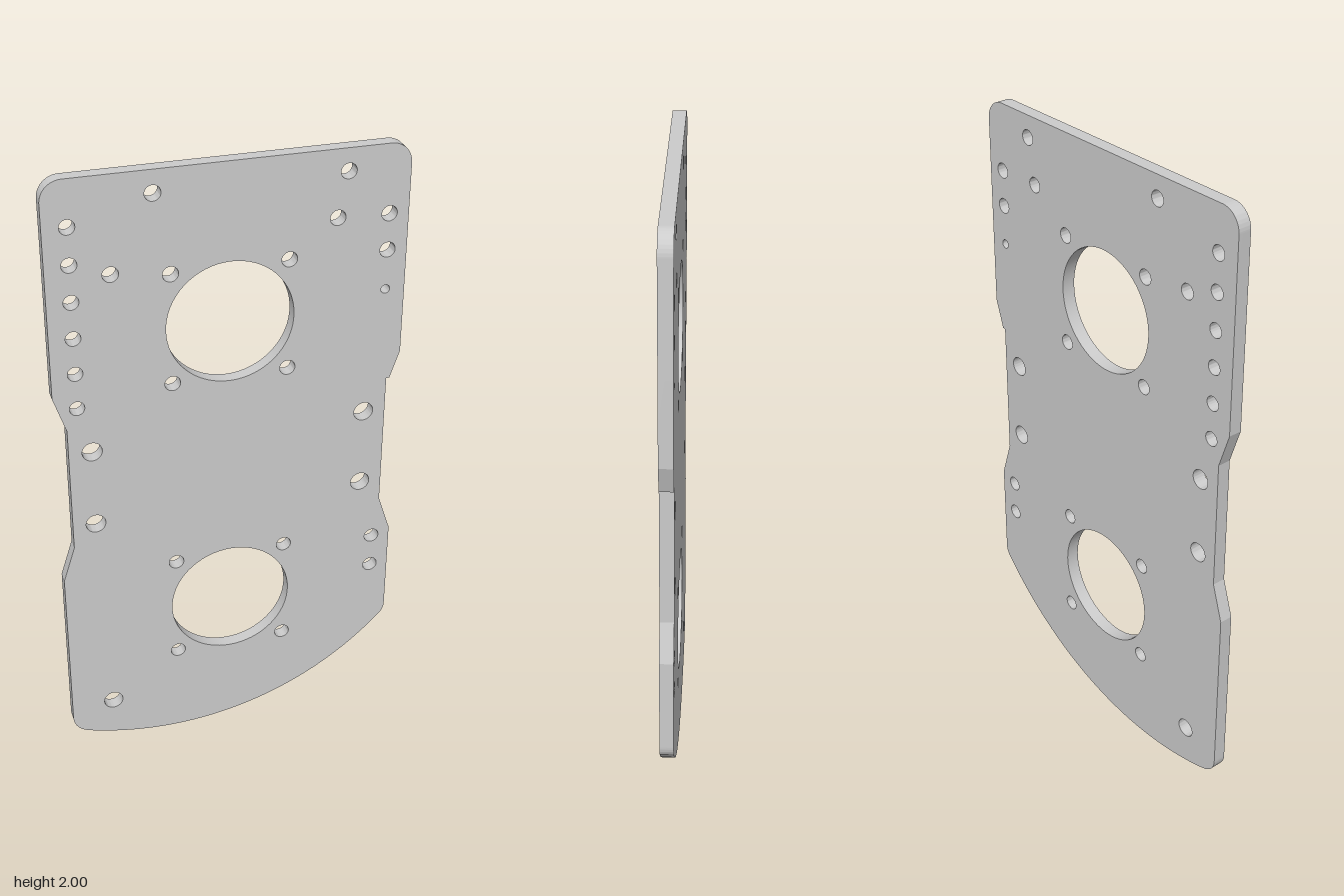
import * as THREE from 'three';
import { toCreasedNormals } from 'three/addons/utils/BufferGeometryUtils.js';

const THICKNESS = 0.043;

// Plate outline, drawn counter-clockwise from the lower left corner
function plateOutline() {
  const s = new THREE.Shape();
  const cx = -0.2, R = 0.98; // curved bottom edge, centred at (cx, R)
  const angleAt = x => -Math.acos((x - cx) / R);
  s.moveTo(-0.49, R + R * Math.sin(angleAt(-0.49)));
  s.absarc(cx, R, R, angleAt(-0.49), angleAt(0.52), false);
  s.quadraticCurveTo(0.54, 0.332, 0.54, 0.36);
  // right edge with its waist and small step
  for (const [x, y] of [[0.54, 0.67], [0.5, 0.79], [0.5, 1.235], [0.51, 1.235], [0.54, 1.325]]) s.lineTo(x, y);
  // rounded top corners
  s.absarc(0.475, 1.935, 0.065, 0, Math.PI / 2, false);
  s.absarc(-0.475, 1.935, 0.065, Math.PI / 2, Math.PI, false);
  // left edge with its waist
  for (const [x, y] of [[-0.54, 1.325], [-0.502, 1.21], [-0.502, 0.79], [-0.54, 0.67], [-0.54, 0.108]]) s.lineTo(x, y);
  s.absarc(-0.475, 0.108, 0.065, Math.PI, Math.PI * 1.43, false);
  return s;
}

export function createModel() {
  const group = new THREE.Group();
  const shape = plateOutline();
  const hole = (x, y, r) => {
    const p = new THREE.Path();
    p.absarc(x, y, r, 0, Math.PI * 2, true);
    shape.holes.push(p);
  };

  // two large bores, each with four screw holes
  for (const y of [1.5, 0.495]) {
    hole(0, y, 0.195);
    for (const sx of [-1, 1]) for (const sy of [-1, 1]) hole(sx * 0.178, y + sy * 0.178, 0.024);
  }
  // column of holes on the left of the front face
  for (let i = 0; i < 6; i++) hole(-0.468, 1.858 - i * 0.115, 0.023);
  // holes along the opposite edge
  for (const y of [1.785, 1.67, 0.648, 0.533]) hole(0.48, y, 0.024);
  hole(0.48, 1.542, 0.014);
  // larger mounting holes at the waist and lower corner
  for (const x of [-0.43, 0.43]) for (const y of [1.127, 0.868]) hole(x, y, 0.031);
  hole(-0.402, 0.155, 0.031);
  // scattered upper holes
  for (const [x, y] of [[-0.224, 1.93], [0.35, 1.93], [0.322, 1.79], [-0.352, 1.7]]) hole(x, y, 0.024);

  const extruded = new THREE.ExtrudeGeometry(shape, { depth: THICKNESS, bevelEnabled: false, curveSegments: 32 });
  extruded.translate(0, 0, -THICKNESS / 2);
  const plate = new THREE.Mesh(
    toCreasedNormals(extruded, 0.3),
    new THREE.MeshStandardMaterial({ color: 0xcccccc })
  );
  plate.name = 'mountingPlate';
  group.add(plate);
  return group;
}
